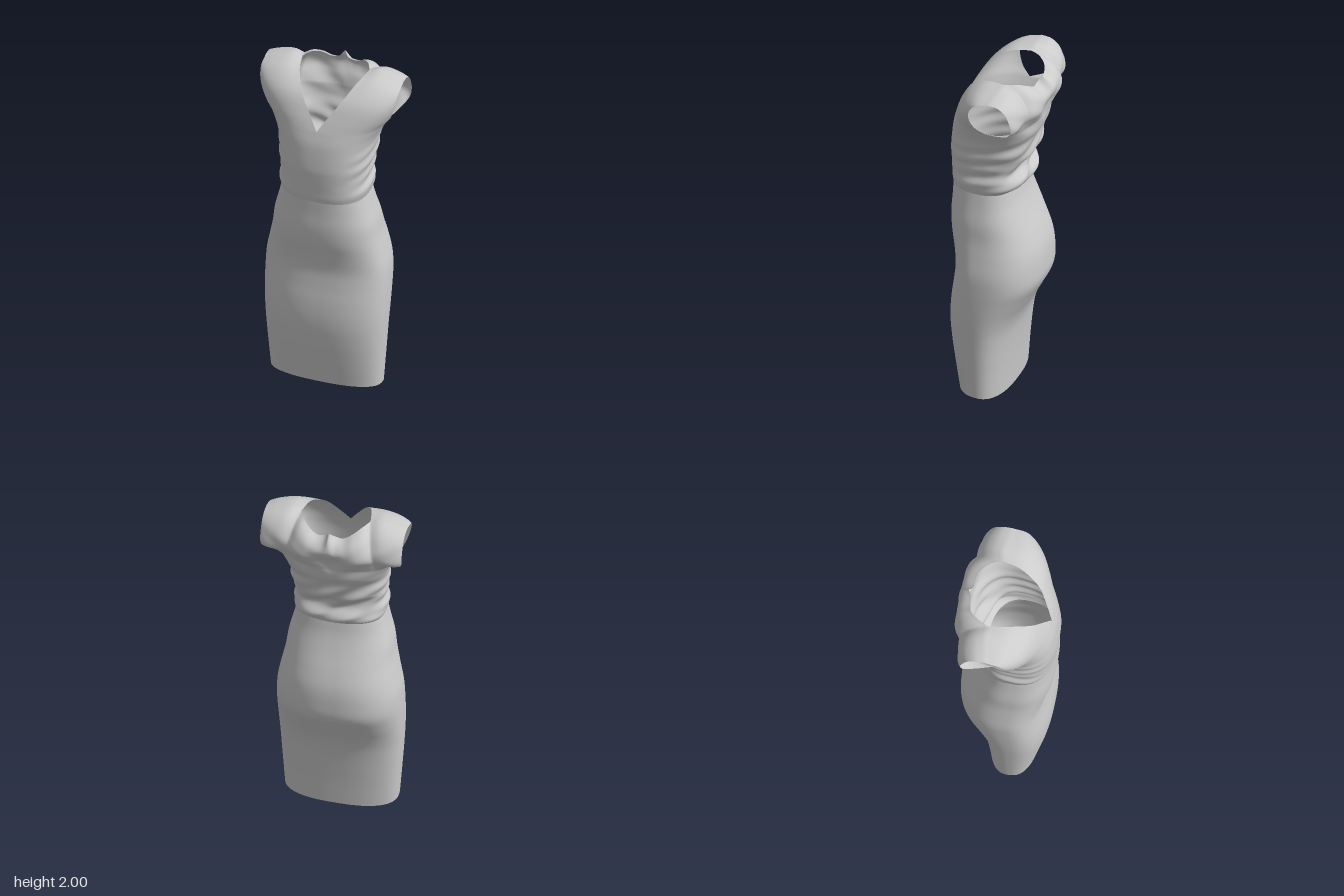
import * as THREE from 'three';
import { mergeGeometries, mergeVertices } from 'three/addons/utils/BufferGeometryUtils.js';

const V = (x, y, z) => new THREE.Vector3(x, y, z);
const curve = (...pts) => new THREE.CatmullRomCurve3(pts.map(p => V(...p)));

// Cross-sections: [y, half width, front z, back z, z of the side seam]
const SKIRT = [
  [0, 0.32, 0.2, -0.08, 0.06], [0.2, 0.333, 0.23, -0.095, 0.06],
  [0.4, 0.345, 0.255, -0.12, 0.06], [0.5, 0.35, 0.258, -0.15, 0.055],
  [0.6, 0.352, 0.25, -0.2, 0.05], [0.7, 0.351, 0.235, -0.248, 0.045],
  [0.8, 0.345, 0.226, -0.253, 0.04], [0.9, 0.325, 0.24, -0.242, 0.04],
  [1.0, 0.304, 0.262, -0.21, 0.045], [1.1, 0.29, 0.27, -0.17, 0.05],
  [1.2, 0.265, 0.266, -0.135, 0.055], [1.28, 0.247, 0.265, -0.118, 0.055],
];
const BODICE = [
  [1.28, 0.247, 0.265, -0.118, 0.055], [1.31, 0.257, 0.27, -0.158, 0.05],
  [1.35, 0.258, 0.272, -0.167, 0.05], [1.4, 0.25, 0.276, -0.138, 0.045],
  [1.45, 0.257, 0.279, -0.15, 0.04], [1.5, 0.263, 0.28, -0.185, 0.03],
  [1.6, 0.275, 0.27, -0.2, 0.01], [1.66, 0.292, 0.26, -0.226, -0.01],
  [1.73, 0.328, 0.238, -0.233, -0.02],
];

// Smooth interpolation of a cross-section table at height y
function section(table, y) {
  let i = 0;
  while (i < table.length - 2 && y > table[i + 1][0]) i++;
  const a = table[i], b = table[i + 1], h = b[0] - a[0], t = (y - a[0]) / h;
  const p = table[Math.max(i - 1, 0)], n = table[Math.min(i + 2, table.length - 1)];
  return a.map((_, k) => {
    const m0 = (b[k] - p[k]) / (b[0] - p[0]) * h, m1 = (n[k] - a[k]) / (n[0] - a[0]) * h;
    const t2 = t * t, t3 = t2 * t;
    return (2 * t3 - 3 * t2 + 1) * a[k] + (t3 - 2 * t2 + t) * m0 +
      (3 * t2 - 2 * t3) * b[k] + (t3 - t2) * m1;
  });
}

// Quarter of a rounded ring: u = 0 at the centre line, u = 1 at the side seam
function ringPoint(table, y, u, front) {
  const [, w, f, b, c] = section(table, y);
  const s = Math.sin(u * Math.PI / 2), k = Math.max(0, Math.cos(u * Math.PI / 2));
  return V(w * s ** 0.8, y, c + ((front ? f : b) - c) * k ** 0.8);
}

// Grid surface from fn(u, v) on one side of the body
function patch(nu, nv, fn, side, front, warp) {
  const pos = [], idx = [];
  for (let j = 0; j <= nv; j++)
    for (let i = 0; i <= nu; i++) {
      const p = fn(i / nu, j / nv);
      p.x *= side;
      warp(p);
      pos.push(p.x, p.y, p.z);
    }
  const flip = (side < 0) === front;
  for (let j = 0; j < nv; j++)
    for (let i = 0; i < nu; i++) {
      const a = j * (nu + 1) + i, b = a + 1, d = a + nu + 1, c = d + 1;
      idx.push(...(flip ? [a, c, b, a, d, c] : [a, b, c, a, c, d]));
    }
  const g = new THREE.BufferGeometry();
  g.setAttribute('position', new THREE.Float32BufferAttribute(pos, 3));
  g.setIndex(idx);
  return g;
}

// Surface blended between four boundary curves
function coons(bottom, top, inner, outer) {
  const c00 = bottom(0), c10 = bottom(1), c01 = top(0), c11 = top(1);
  return (u, v) => V(0, 0, 0)
    .addScaledVector(bottom(u), 1 - v).addScaledVector(top(u), v)
    .addScaledVector(inner(v), 1 - u).addScaledVector(outer(v), u)
    .addScaledVector(c00, -(1 - u) * (1 - v)).addScaledVector(c10, -u * (1 - v))
    .addScaledVector(c01, -(1 - u) * v).addScaledVector(c11, -u * v);
}

// The four quarters share their edges, so the welded cloth shades smoothly
function cloth(name, parts) {
  const geo = mergeVertices(mergeGeometries(parts), 1e-4);
  geo.computeVertexNormals();
  const mesh = new THREE.Mesh(geo,
    new THREE.MeshStandardMaterial({ color: 0xcccccc, side: THREE.DoubleSide }));
  mesh.name = name;
  return mesh;
}

export function createModel() {
  const dress = new THREE.Group();
  dress.name = 'dress';
  const columns = front => (front ? 24 : 48);

  // Hem rises towards the front
  const hem = p => {
    const fade = Math.max(0, 1 - p.y / 0.3);
    p.y += 0.04 * fade * (p.z + 0.08) / 0.28;
  };
  // Slanting folds around the waist and soft ones over the upper back
  const folds = p => {
    const back = THREE.MathUtils.smoothstep(-p.z, -0.1, 0.12);
    const waist = THREE.MathUtils.smoothstep(p.y, 1.28, 1.36) * (1 - THREE.MathUtils.smoothstep(p.y, 1.5, 1.68));
    const side = THREE.MathUtils.smoothstep(Math.abs(p.x), 0.12, 0.25);
    p.z += 0.009 * back * waist * Math.sin(52 * p.y + 14 * p.x + 3 * Math.sin(7 * p.x));
    p.x *= 1 + 0.018 * waist * side * Math.sin(75 * p.y + 16 * p.z);
    const upper = THREE.MathUtils.smoothstep(p.y, 1.62, 1.75) * (1 - THREE.MathUtils.smoothstep(p.y, 1.85, 1.95));
    p.z += 0.004 * back * upper * Math.sin(40 * p.y - 30 * Math.abs(p.x));
  };

  // Edges of the upper bodice
  const Y = 1.73, neck = [0.195, 1.985, -0.08], armTop = [0.4, 1.965, -0.06];
  const underarm = [0.328, Y, -0.02];
  const shoulder = curve(neck, [0.25, 1.998, -0.085], [0.33, 1.985, -0.075], armTop);
  const frontNeck = curve([0, Y, 0.238], [0.045, 1.8, 0.205], [0.115, 1.9, 0.145],
    [0.16, 1.962, 0.06], [0.178, 1.978, 0.01], neck);
  const backNeck = curve([0, 1.972, -0.228], [0.025, 1.945, -0.207], [0.07, 1.935, -0.203],
    [0.12, 1.96, -0.188], [0.165, 1.983, -0.14], neck);
  const backCentre = curve([0, Y, -0.233], [0, 1.8, -0.252], [0, 1.88, -0.278],
    [0, 1.93, -0.264], [0, 1.972, -0.228]);
  const frontArm = curve(underarm, [0.355, 1.77, 0.03], [0.378, 1.83, 0.058],
    [0.392, 1.89, 0.056], [0.4, 1.94, 0.02], armTop);
  const backArm = curve(underarm, [0.365, 1.755, -0.11], [0.395, 1.79, -0.18],
    [0.4, 1.85, -0.19], [0.4, 1.92, -0.165], [0.4, 1.958, -0.115], armTop);

  const yoke = front => coons(
    u => ringPoint(BODICE, Y, u, front),
    u => front ? shoulder.getPointAt(u)
      : u < 0.5 ? backNeck.getPointAt(2 * u) : shoulder.getPointAt(2 * u - 1),
    v => (front ? frontNeck : backCentre).getPointAt(v),
    v => (front ? frontArm : backArm).getPointAt(v));

  const skirt = [], bodice = [];
  for (const side of [1, -1])
    for (const front of [true, false]) {
      const n = columns(front);
      skirt.push(patch(n, 64, (u, v) => ringPoint(SKIRT, 1.28 * v, u, front), side, front, hem));
      bodice.push(
        patch(n, 48, (u, v) => ringPoint(BODICE, 1.28 + (Y - 1.28) * v, u, front), side, front, folds),
        patch(n, 28, yoke(front), side, front, folds));
    }
  dress.add(cloth('skirt', skirt), cloth('bodice', bodice));
  return dress;
}
